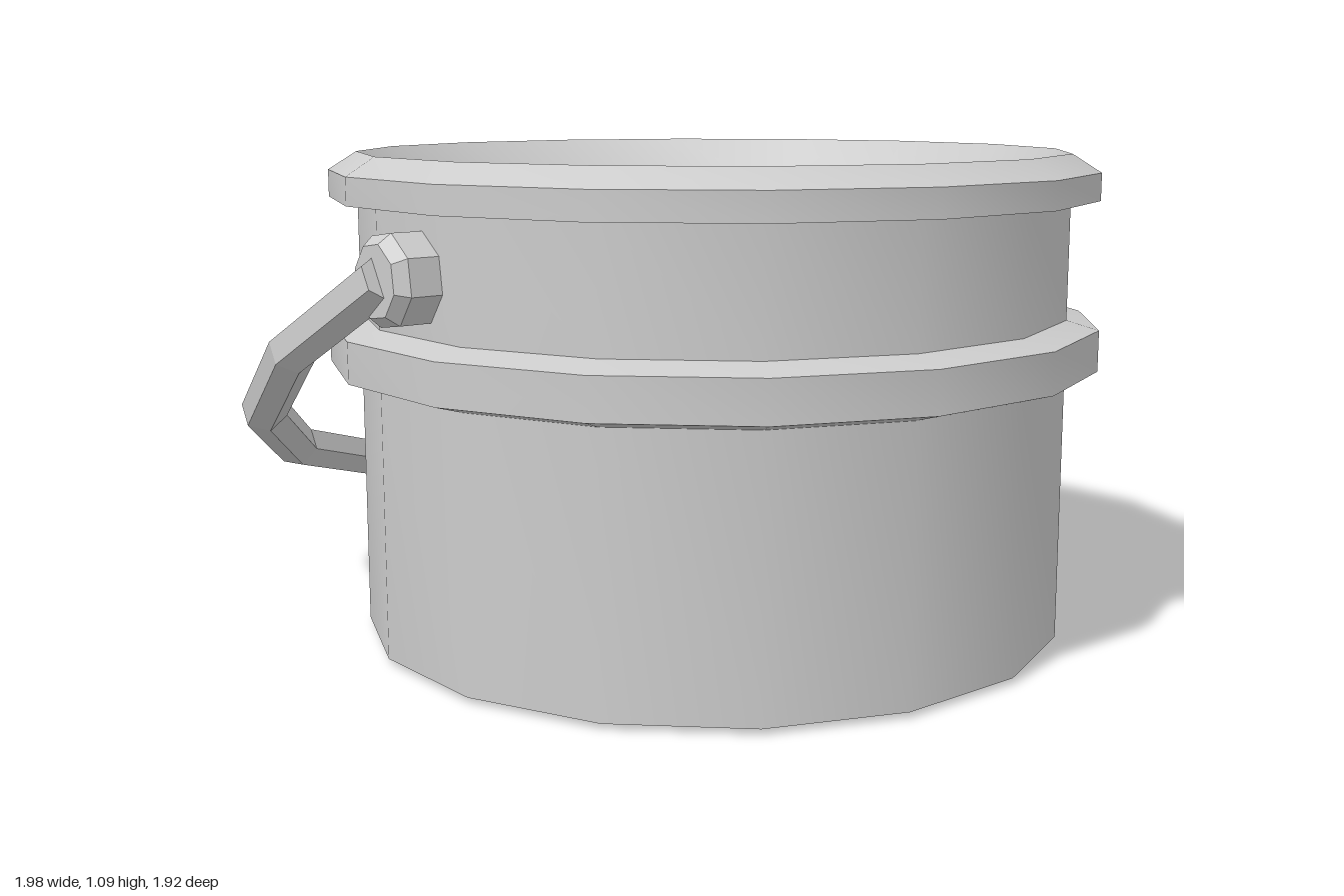
import * as THREE from 'three';
import { toCreasedNormals } from 'three/addons/utils/BufferGeometryUtils.js';

const grey = () => new THREE.MeshStandardMaterial({ color: 0xcccccc });

// Turned part with smooth sides and sharp profile corners
function turned(name, profile, sides, phiStart = 0) {
  const points = profile.map(([r, y]) => new THREE.Vector2(r, y));
  const lathe = new THREE.LatheGeometry(points, sides, phiStart);
  const mesh = new THREE.Mesh(toCreasedNormals(lathe, Math.PI / 6), grey());
  mesh.name = name;
  return mesh;
}

// Hexagonal bar swept along a path lying in the xz plane
function hexBar(path, radius) {
  const up = new THREE.Vector3(0, 1, 0);
  const positions = [], index = [], n = 6, last = path.length - 1;
  path.forEach((p, i) => {
    const tangent = path[Math.min(i + 1, last)].clone().sub(path[Math.max(i - 1, 0)]).normalize();
    const out = up.clone().cross(tangent);
    for (let j = 0; j < n; j++) {
      const a = Math.PI / 6 + (j / n) * Math.PI * 2;
      const v = p.clone().addScaledVector(out, radius * Math.cos(a)).addScaledVector(up, radius * Math.sin(a));
      positions.push(v.x, v.y, v.z);
      if (i < last) {
        const k = (j + 1) % n, b = i * n;
        index.push(b + j, b + k, b + n + j, b + k, b + n + k, b + n + j);
      }
    }
  });
  // End caps
  for (let j = 1; j < n - 1; j++) {
    index.push(0, j + 1, j, last * n, last * n + j, last * n + j + 1);
  }
  const geometry = new THREE.BufferGeometry();
  geometry.setAttribute('position', new THREE.Float32BufferAttribute(positions, 3));
  geometry.setIndex(index);
  return toCreasedNormals(geometry, 0.1);
}

export function createModel() {
  const model = new THREE.Group();
  model.name = 'bucket';
  const bucket = new THREE.Group();
  bucket.name = 'bucketAssembly';
  bucket.position.set(0.13, 0, 0.03);
  bucket.rotation.y = -0.098;
  model.add(bucket);

  // Pail: underside, wall, raised band, lip, funnel mouth, inner wall and floor
  bucket.add(turned('pail', [
    [0, 0], [0.8, 0.013],
    [0.8, 0.6], [0.87, 0.62], [0.87, 0.71], [0.8, 0.73],
    [0.8, 0.99], [0.863, 0.99], [0.863, 1.05], [0.8, 1.09],
    [0.68, 0.96], [0.68, 0.06], [0, 0.06],
  ], 16, Math.PI / 16));

  // Swinging assembly, lowered towards the right side
  const swing = new THREE.Group();
  swing.name = 'handleAssembly';
  swing.position.y = 0.852;
  swing.rotation.z = 0.533;
  bucket.add(swing);

  // Pivot pegs on both sides
  for (const side of [1, -1]) {
    const peg = turned(side > 0 ? 'frontPeg' : 'backPeg',
      [[0, 0.74], [0.1, 0.74], [0.1, 0.855], [0.078, 0.882], [0, 0.882]], 8, Math.PI / 2);
    peg.rotation.x = side * Math.PI / 2;
    swing.add(peg);
  }

  // Bail handle, mirrored front to back
  const half = [[0.015, 0.868], [-0.33, 0.92], [-0.685, 0.84], [-0.985, 0.63], [-1.18, 0.33]];
  const path = [
    ...half.map(([x, z]) => new THREE.Vector3(x, 0, z)),
    new THREE.Vector3(-1.245, 0, 0),
    ...half.slice().reverse().map(([x, z]) => new THREE.Vector3(x, 0, -z)),
  ];
  const handle = new THREE.Mesh(hexBar(path, 0.052), grey());
  handle.name = 'handle';
  swing.add(handle);

  return model;
}
